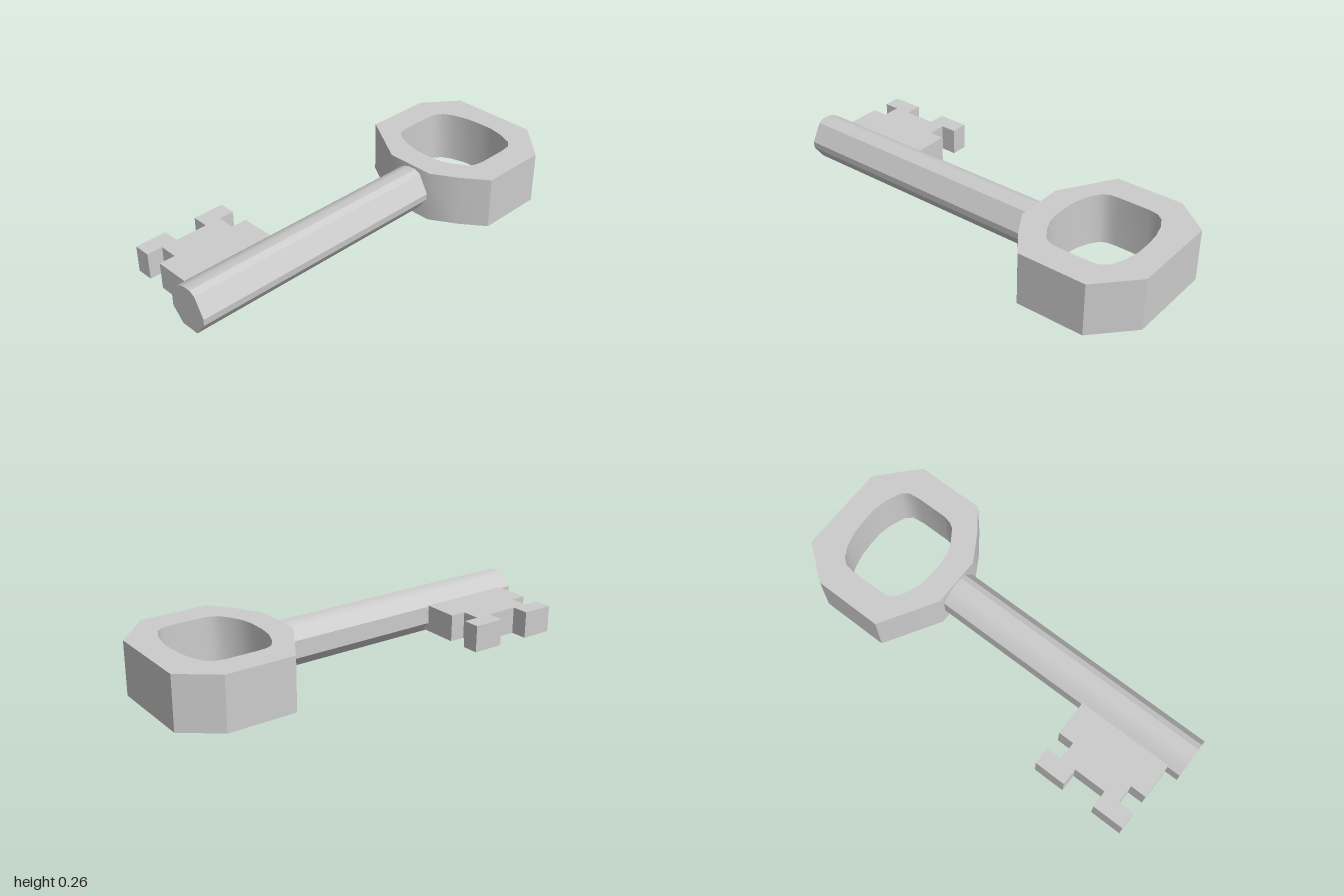
import * as THREE from 'three';
import { toCreasedNormals } from 'three/addons/utils/BufferGeometryUtils.js';

const material = new THREE.MeshStandardMaterial({ color: 0xcccccc });
const toVectors = (points) => points.map(([x, z]) => new THREE.Vector2(x, -z));

function extrude(shape, depth, crease) {
  const geo = new THREE.ExtrudeGeometry(shape, { depth, bevelEnabled: false });
  return toCreasedNormals(geo, crease);
}

function part(name, geometry) {
  const mesh = new THREE.Mesh(geometry, material);
  mesh.name = name;
  return mesh;
}

// Flat plate: outline given as [x, z], standing between two heights
function plate(name, outline, y0, y1, hole) {
  const shape = new THREE.Shape(toVectors(outline));
  // The hole winds against the outline so its wall faces inward
  if (hole) shape.holes.push(new THREE.Path(toVectors(hole).reverse()));
  const geo = extrude(shape, y1 - y0, 0.6);
  geo.rotateX(-Math.PI / 2).translate(0, y0, 0);
  return part(name, geo);
}

export function createModel() {
  const key = new THREE.Group();
  key.name = 'key';

  // Faceted bow with a rounded opening
  const bowOutline = [
    [0.333, -0.085], [0.495, -0.352], [0.83, -0.352], [1, -0.22], [1, 0.22],
    [0.83, 0.403], [0.495, 0.403], [0.41, 0.29], [0.333, 0.16],
  ];
  const bowHole = [
    [0.59, -0.215], [0.75, -0.215], [0.79, -0.208], [0.822, -0.185], [0.85, -0.135],
    [0.87, -0.06], [0.876, 0.02], [0.876, 0.09], [0.86, 0.165], [0.832, 0.232],
    [0.8, 0.258], [0.74, 0.265], [0.59, 0.265], [0.55, 0.257], [0.522, 0.24],
    [0.485, 0.185], [0.46, 0.13], [0.45, 0.07], [0.45, -0.02], [0.46, -0.085],
    [0.485, -0.15], [0.515, -0.195], [0.545, -0.21],
  ];
  key.add(plate('bow', bowOutline, 0.002, 0.26, bowHole));

  // Shaft: cross-section as [z, y], flat below and rounded above, run along x into the bow
  const section = [
    [0.07, 0.246], [0.1, 0.231], [0.15, 0.142], [0.147, 0.108], [0.095, 0.039],
    [0, 0.039], [-0.06, 0.1], [-0.06, 0.185], [-0.03, 0.215], [0, 0.236], [0.03, 0.245],
  ];
  const shaftShape = new THREE.Shape(section.map(([z, y]) => new THREE.Vector2(-z, y)));
  const shaft = extrude(shaftShape, 1.37, 0.4);
  shaft.rotateY(Math.PI / 2).translate(-1, 0, 0);
  key.add(part('shaft', shaft));

  // Bit: half of the notched outline as [offset from its middle, z], mirrored
  const half = [
    [0.235, 0], [0.235, -0.23], [0.158, -0.23], [0.158, -0.32],
    [0.235, -0.32], [0.235, -0.403], [0.08, -0.403], [0.08, -0.32],
  ];
  const mirrored = half.map(([x, z]) => [-x, z]).reverse();
  const bitOutline = [...half, ...mirrored].map(([x, z]) => [x - 0.7, z]);
  key.add(plate('bit', bitOutline, 0.06, 0.19));

  return key;
}
